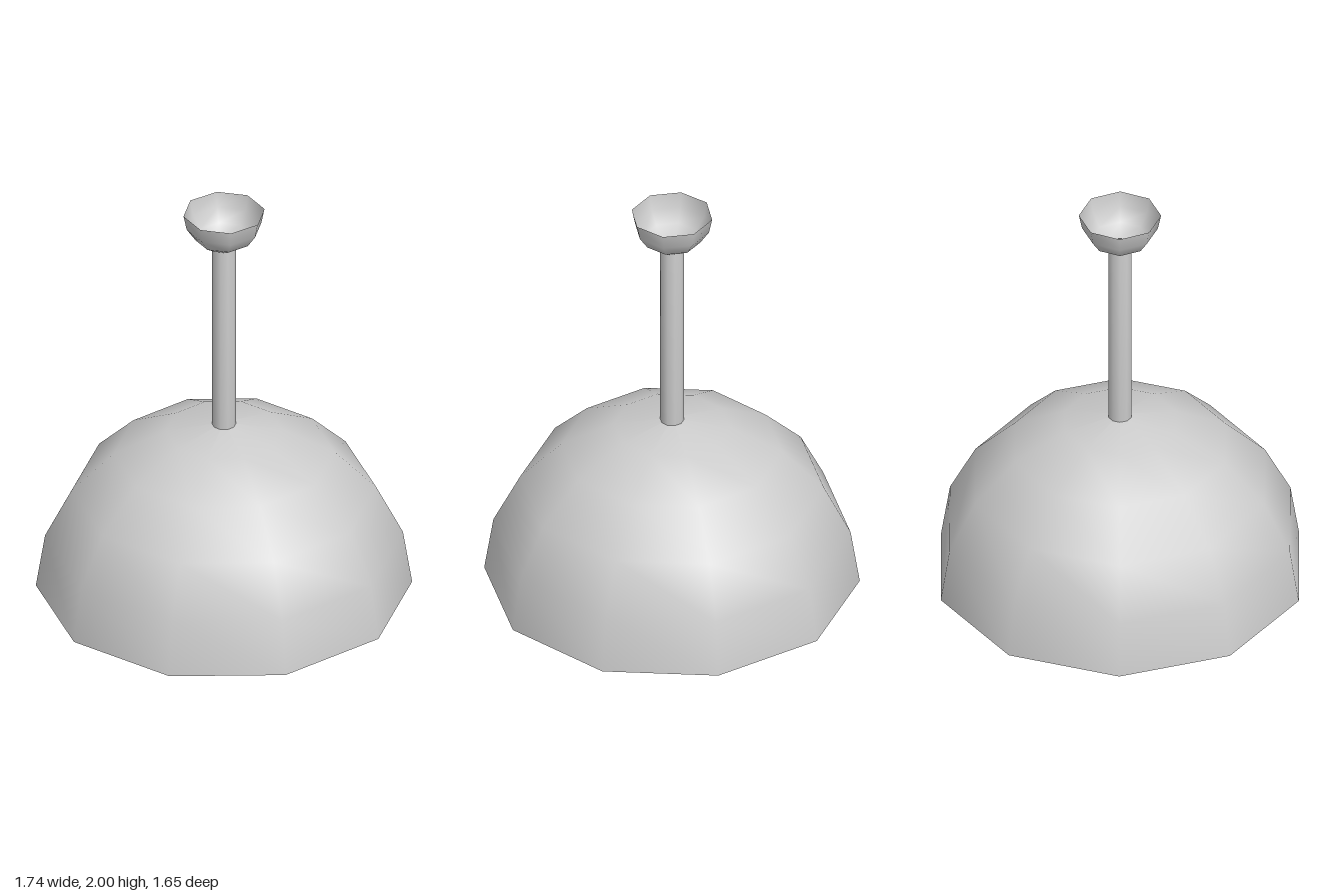
import * as THREE from 'three';

// Points along a circular arc, angles in degrees above the horizontal
function arc(radius, centreY, from, to, steps) {
  const points = [];
  for (let i = 0; i <= steps; i++) {
    const a = THREE.MathUtils.degToRad(from + ((to - from) * i) / steps);
    const x = Math.max(0, Math.cos(a) * radius);
    points.push(new THREE.Vector2(x < 1e-6 ? 0 : x, centreY + Math.sin(a) * radius));
  }
  return points;
}

export function createModel() {
  const group = new THREE.Group();
  const solid = new THREE.MeshStandardMaterial({ color: 0xcccccc });
  const thin = new THREE.MeshStandardMaterial({ color: 0xcccccc, side: THREE.DoubleSide });

  // Revolved part with its corners on the x axis
  function turned(name, points, sides, material = solid, parent = group) {
    const mesh = new THREE.Mesh(new THREE.LatheGeometry(points, sides, Math.PI / 2), material);
    mesh.name = name;
    parent.add(mesh);
  }

  // Ten-sided dome shade with a thin wall
  const outer = 0.87, inner = 0.852;
  const shade = new THREE.Group();
  shade.name = 'shade';
  group.add(shade);
  turned('shadeOuter', arc(outer, 0, 0, 90, 5), 10, solid, shade);
  turned('shadeInner', arc(inner, 0, 90, 0, 5), 10, solid, shade);
  turned('shadeRim', [new THREE.Vector2(inner, 0), new THREE.Vector2(outer, 0)], 10, solid, shade);

  // Hanging stem, its top just showing inside the ceiling cup
  const r = 0.055, low = 0.7, high = 1.83;
  turned('stem', [[0, low], [r, low], [r, high], [0, high]].map(([x, y]) => new THREE.Vector2(x, y)), 10);

  // Open eight-sided ceiling cup
  turned('ceilingCup', arc(0.19, 2, -90, 0, 4), 8, thin);

  // Bulb under the dome
  turned('bulb', arc(0.19, 0.59, -90, 90, 8), 12);

  return group;
}
